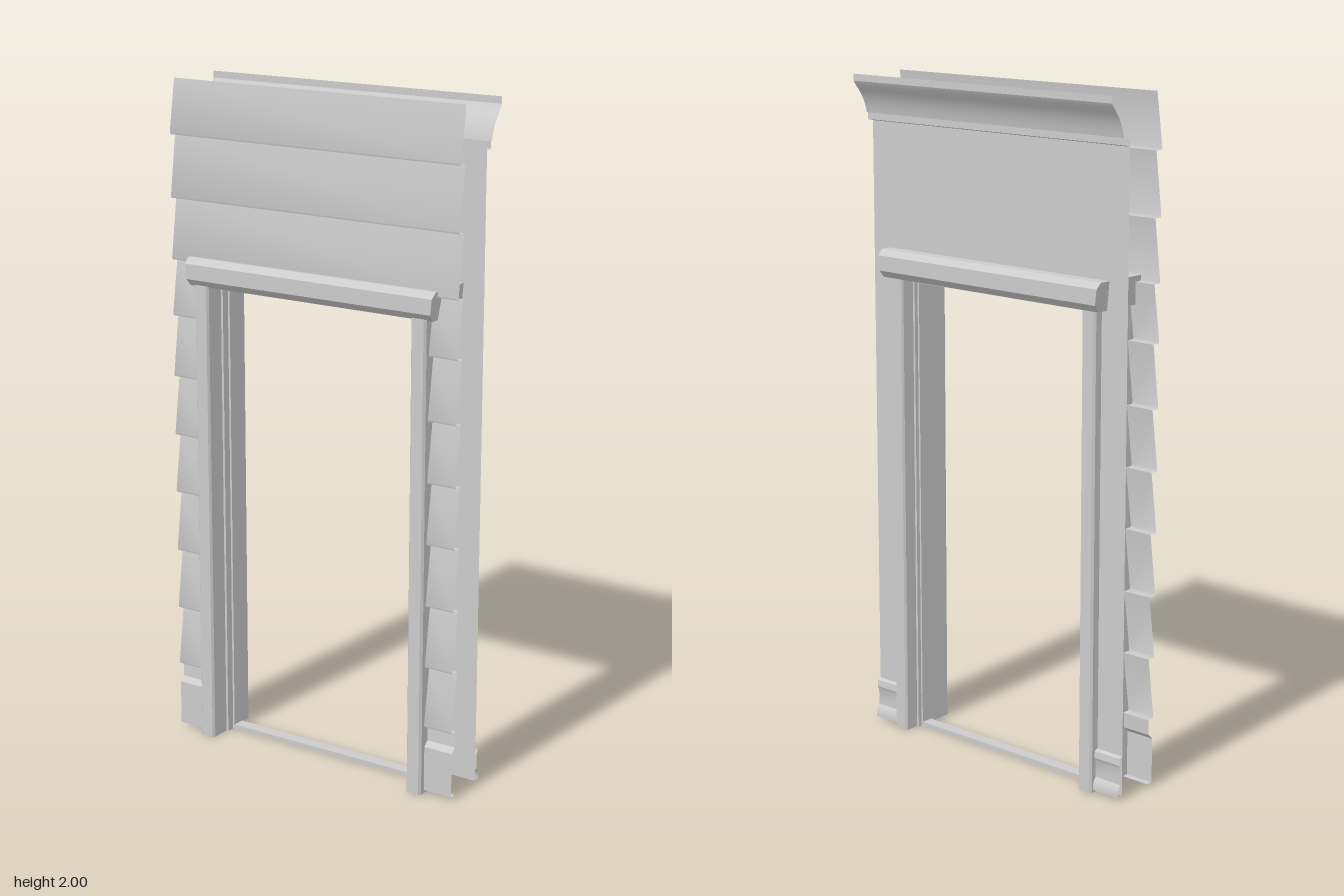
import * as THREE from 'three';
import { toCreasedNormals } from 'three/addons/utils/BufferGeometryUtils.js';

const solidMat = new THREE.MeshStandardMaterial({ color: 0xcccccc });
const sheetMat = new THREE.MeshStandardMaterial({ color: 0xcccccc, side: THREE.DoubleSide });

const W = 0.487;       // half width of the walls
const JAMB = 0.395;    // outer half width of the door frame
const HEAD = 1.41;     // underside of the lintel

function add(parent, name, geometry, material) {
  const mesh = new THREE.Mesh(geometry, material);
  mesh.name = name;
  parent.add(mesh);
  return mesh;
}

// Thin sheet: a [z, y] profile, listed from top to bottom, swept from x0 to x1
function sheet(profile, x0, x1) {
  const pos = [];
  for (let i = 0; i < profile.length - 1; i++) {
    const [za, ya] = profile[i], [zb, yb] = profile[i + 1];
    pos.push(x0, ya, za, x0, yb, zb, x1, yb, zb, x0, ya, za, x1, yb, zb, x1, ya, za);
  }
  const g = new THREE.BufferGeometry();
  g.setAttribute('position', new THREE.Float32BufferAttribute(pos, 3));
  return toCreasedNormals(g, 0.5);
}

// Solid bar: a [z, y] profile extruded along x, centred
function barX(profile, length) {
  const shape = new THREE.Shape(profile.map(([z, y]) => new THREE.Vector2(z, y)));
  const g = new THREE.ExtrudeGeometry(shape, { depth: length, bevelEnabled: false });
  return g.translate(0, 0, -length / 2).rotateY(-Math.PI / 2);
}

// Solid post: an [x, z] plan extruded upwards
function postY(plan, height) {
  const shape = new THREE.Shape(plan.map(([x, z]) => new THREE.Vector2(x, -z)));
  return new THREE.ExtrudeGeometry(shape, { depth: height, bevelEnabled: false }).rotateX(-Math.PI / 2);
}

// Overlapping boards, each leaning out to a lip at its lower edge
function boards(edges) {
  const profile = [];
  for (let i = 0; i < edges.length - 1; i++) {
    profile.push([0.066, edges[i]], [0.091, edges[i + 1] + 0.006], [0.089, edges[i + 1]]);
  }
  profile.push([0.066, edges[edges.length - 1]]);
  return profile;
}

export function createModel() {
  const model = new THREE.Group();
  model.name = 'doorwayWall';

  // Outer siding: full width above the door, narrow strips beside it
  add(model, 'upperSiding', sheet(boards([2, 1.84, 1.655, 1.473]), -W, W), sheetMat);
  const lowSiding = boards([1.473, 1.305, 1.12, 0.94, 0.76, 0.575, 0.39, 0.207]);
  const baseTrim = [[0.07, 0.207], [0.072, 0.16], [0.088, 0.145], [0.088, 0.01], [0.068, 0.01]];

  // Inner skirting profile
  const skirting = [[-0.047, 0.13], [-0.058, 0.125], [-0.06, 0.105], [-0.054, 0.092],
    [-0.054, 0.045], [-0.062, 0.035], [-0.066, 0.02], [-0.066, 0.008]];

  // Frame plan: casings front and back with a stepped door stop between
  const jamb = [[0.351, 0.11], [0.389, 0.11], [JAMB, 0.103], [JAMB, -0.07], [0.389, -0.076],
    [0.351, -0.076], [0.346, -0.07], [0.346, -0.03], [0.339, -0.03], [0.339, -0.018],
    [0.333, -0.018], [0.333, 0.02], [0.339, 0.02], [0.339, 0.045], [0.346, 0.045], [0.346, 0.103]];

  for (const [side, s] of [['left', 1], ['right', -1]]) {
    const x0 = s > 0 ? JAMB - 0.003 : -W, x1 = s > 0 ? W : -JAMB + 0.003;
    add(model, side + 'Siding', sheet(lowSiding, x0, x1), sheetMat);
    add(model, side + 'BaseTrim', sheet(baseTrim, x0, x1), sheetMat);
    add(model, side + 'InnerWall', sheet([[-0.047, 1.45], [-0.047, 0.01]], x0, x1), sheetMat);
    add(model, side + 'Skirting', sheet(skirting, x0, x1), sheetMat);
    add(model, side + 'Jamb', postY(jamb.map(([x, z]) => [s * x, z]), HEAD), solidMat);
  }

  // Inner wall above the door
  add(model, 'innerWallTop', sheet([[-0.047, 1.88], [-0.047, 1.45]], -W, W), sheetMat);

  // Crown moulding: small lip, cove, then an upright top edge
  const cove = new THREE.CubicBezierCurve(
    new THREE.Vector2(-0.12, 1.975), new THREE.Vector2(-0.108, 1.955),
    new THREE.Vector2(-0.084, 1.94), new THREE.Vector2(-0.072, 1.885));
  const crown = [[-0.123, 2], [-0.123, 1.98], ...cove.getPoints(10).map(p => [p.x, p.y]),
    [-0.068, 1.885], [-0.068, 1.865], [-0.047, 1.86]];
  add(model, 'crownMoulding', sheet(crown, -W, W), sheetMat);

  // Lintel through the wall, chamfered and slightly tapered at the ends
  const lintel = barX([[0.1, 1.49], [0.119, 1.473], [0.119, 1.428], [0.1, HEAD - 0.003],
    [-0.082, HEAD - 0.003], [-0.1, 1.428], [-0.1, 1.473], [-0.082, 1.49]], 0.842);
  const p = lintel.attributes.position;
  for (let i = 0; i < p.count; i++) {
    p.setX(i, p.getX(i) * (1 - 0.018 * (1.49 - p.getY(i)) / 0.08));
  }
  lintel.computeVertexNormals();
  add(model, 'lintel', lintel, solidMat);

  // Stepped head stop and sill closing the frame
  add(model, 'headStop', barX([[0.045, HEAD], [0.045, 1.4], [0.02, 1.4], [0.02, 1.39],
    [-0.018, 1.39], [-0.018, 1.4], [-0.03, 1.4], [-0.03, HEAD]], 0.7), solidMat);
  const sill = add(model, 'sill', new THREE.BoxGeometry(0.68, 0.014, 0.038), solidMat);
  sill.position.set(0, 0.007, 0.001);

  return model;
}
